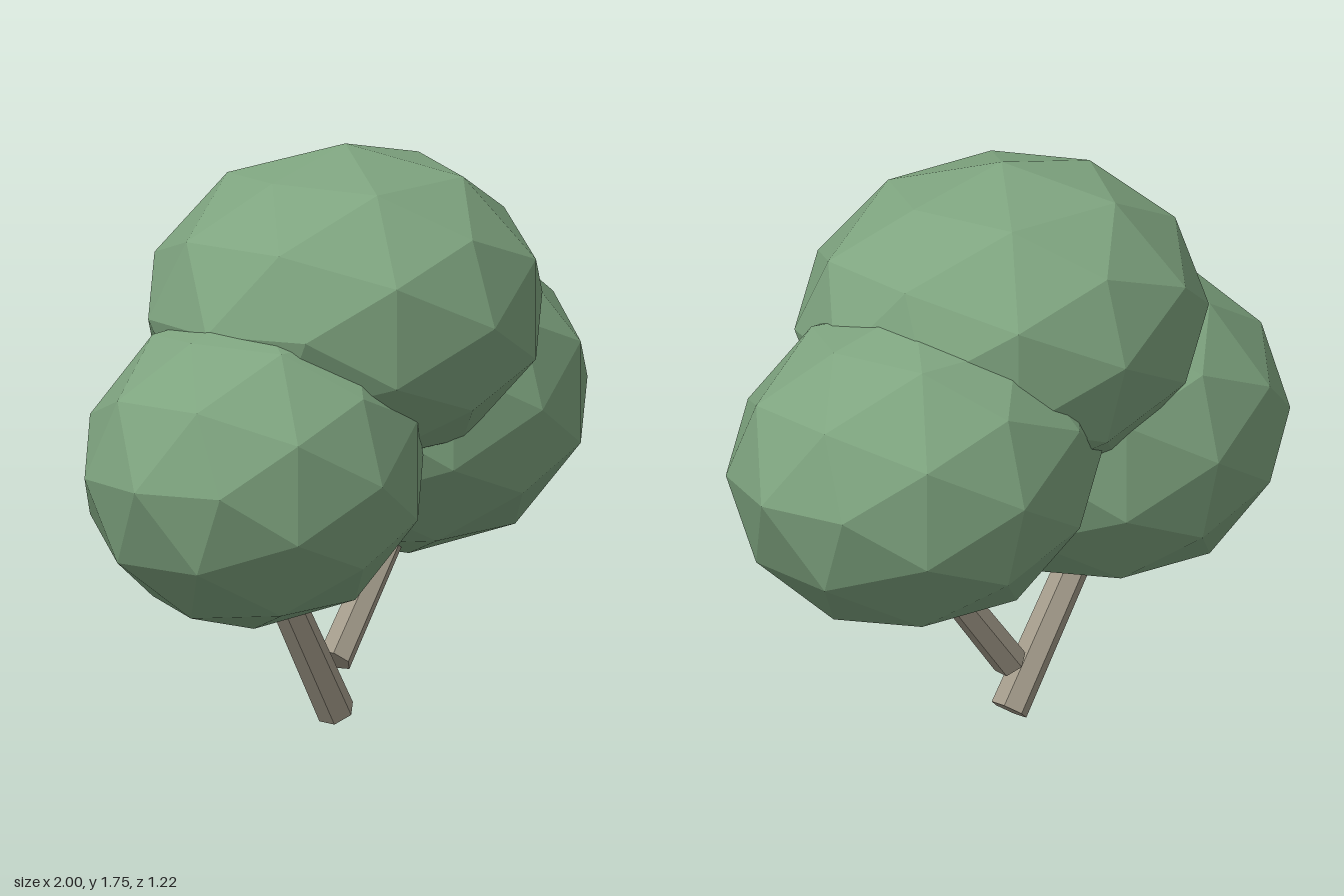
import * as THREE from 'three';

const leafGreen = new THREE.MeshStandardMaterial({ name: 'leafGreen', color: 0x7fa580, flatShading: true });
const barkGrey = new THREE.MeshStandardMaterial({ name: 'barkGrey', color: 0xa39b8a, flatShading: true });

// Faceted ellipsoid of leaves
function foliage(name, center, radii) {
  const mesh = new THREE.Mesh(new THREE.IcosahedronGeometry(1, 1), leafGreen);
  mesh.name = name;
  mesh.position.set(...center);
  mesh.scale.set(...radii);
  return mesh;
}

// Six-sided tapered stem running from its foot to a point inside the leaves
function stem(name, foot, tip, footRadius, tipRadius) {
  const a = new THREE.Vector3(...foot);
  const axis = new THREE.Vector3(...tip).sub(a);
  const mesh = new THREE.Mesh(new THREE.CylinderGeometry(tipRadius, footRadius, axis.length(), 6), barkGrey);
  mesh.name = name;
  mesh.position.copy(a).addScaledVector(axis, 0.5);
  mesh.quaternion.setFromUnitVectors(new THREE.Vector3(0, 1, 0), axis.normalize());
  return mesh;
}

export function createModel() {
  const tree = new THREE.Group();
  tree.name = 'tree';
  tree.add(
    // Three overlapping crowns
    foliage('rightCrown', [-0.449, 0.842, 0.036], [0.551, 0.489, 0.5]),
    foliage('leftCrown', [0.414, 0.937, -0.09], [0.586, 0.496, 0.52]),
    foliage('topCrown', [-0.019, 1.267, 0.028], [0.641, 0.49, 0.582]),
    // Leaning trunk and its side branch
    stem('trunk', [-0.016, 0.034, -0.01], [-0.43, 0.64, 0.03], 0.058, 0.05),
    stem('branch', [-0.015, 0.188, -0.017], [0.36, 0.64, -0.045], 0.053, 0.047),
  );
  return tree;
}
